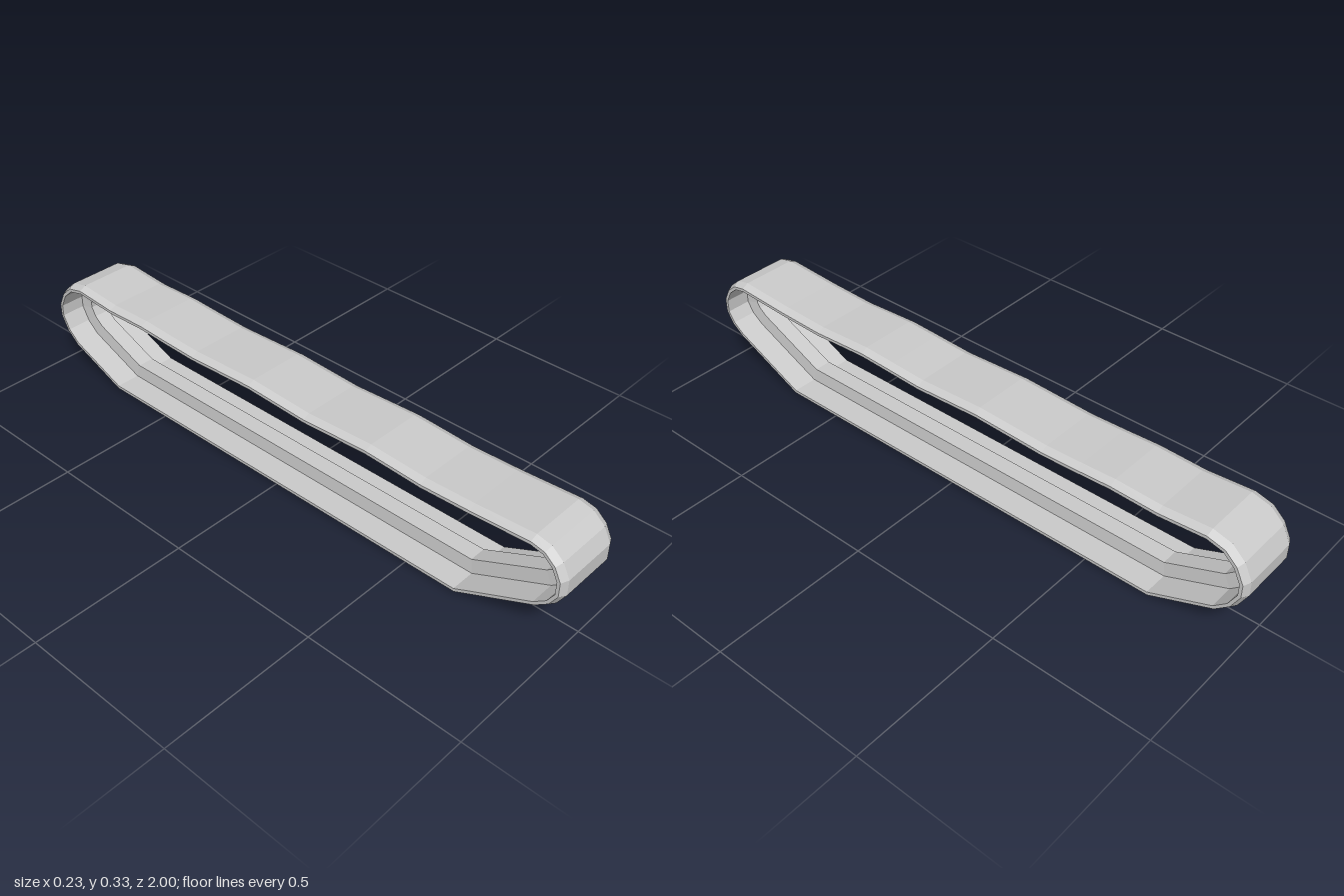
import * as THREE from 'three';

// Outer side profile of the belt as [z, y]: front wheel, ground run, rear wheel, sagging top run
const path = [
  [0.89, 0.332], [0.937, 0.322], [0.975, 0.29], [0.998, 0.245], [0.998, 0.193], [0.972, 0.15], [0.93, 0.118],
  [0.68, 0], [-0.72, 0],
  [-0.925, 0.085], [-0.97, 0.125], [-0.998, 0.178], [-0.998, 0.225], [-0.972, 0.277], [-0.93, 0.315], [-0.87, 0.33],
  [-0.72, 0.319], [-0.57, 0.324], [-0.46, 0.319], [-0.34, 0.315], [-0.22, 0.32], [-0.1, 0.325], [0.01, 0.32],
  [0.12, 0.315], [0.24, 0.321], [0.35, 0.326], [0.45, 0.321], [0.54, 0.316], [0.7, 0.321],
].map(([z, y]) => new THREE.Vector2(z, y));

// Mitred inward direction at each path point
const inward = path.map((p, i) => {
  const n = path.length;
  const a = p.clone().sub(path[(i + n - 1) % n]).normalize();
  const b = path[(i + 1) % n].clone().sub(p).normalize();
  const m = new THREE.Vector2(a.y + b.y, -a.x - b.x).normalize();
  return m.divideScalar(m.dot(new THREE.Vector2(a.y, -a.x)));
});

// Sweep a closed cross-section of [x, depth] points around the path
function sweep(name, section, material) {
  const pos = [], index = [], n = path.length, m = section.length;
  for (let i = 0; i < n; i++) {
    for (const [x, d] of section) {
      pos.push(x, path[i].y + inward[i].y * d, path[i].x + inward[i].x * d);
    }
    for (let j = 0; j < m; j++) {
      const i2 = (i + 1) % n, j2 = (j + 1) % m;
      const a = i * m + j, b = i * m + j2, c = i2 * m + j, d = i2 * m + j2;
      index.push(a, c, b, b, c, d);
    }
  }
  const geometry = new THREE.BufferGeometry();
  geometry.setAttribute('position', new THREE.Float32BufferAttribute(pos, 3));
  geometry.setIndex(index);
  geometry.computeVertexNormals();
  const mesh = new THREE.Mesh(geometry, material);
  mesh.name = name;
  return mesh;
}

export function createModel() {
  const group = new THREE.Group();
  group.name = 'trackLoop';
  const material = new THREE.MeshStandardMaterial({ color: 0xcccccc, flatShading: true });

  // Flat belt with bevelled outer edges
  group.add(sweep('trackBelt', [
    [-0.092, 0], [0.092, 0], [0.115, 0.011], [0.115, 0.021], [-0.115, 0.021], [-0.115, 0.011],
  ], material));

  // Central guide rail on the inside, slightly tapered
  group.add(sweep('guideRail', [
    [-0.034, 0.018], [0.034, 0.018], [0.028, 0.063], [-0.028, 0.063],
  ], material));

  return group;
}
